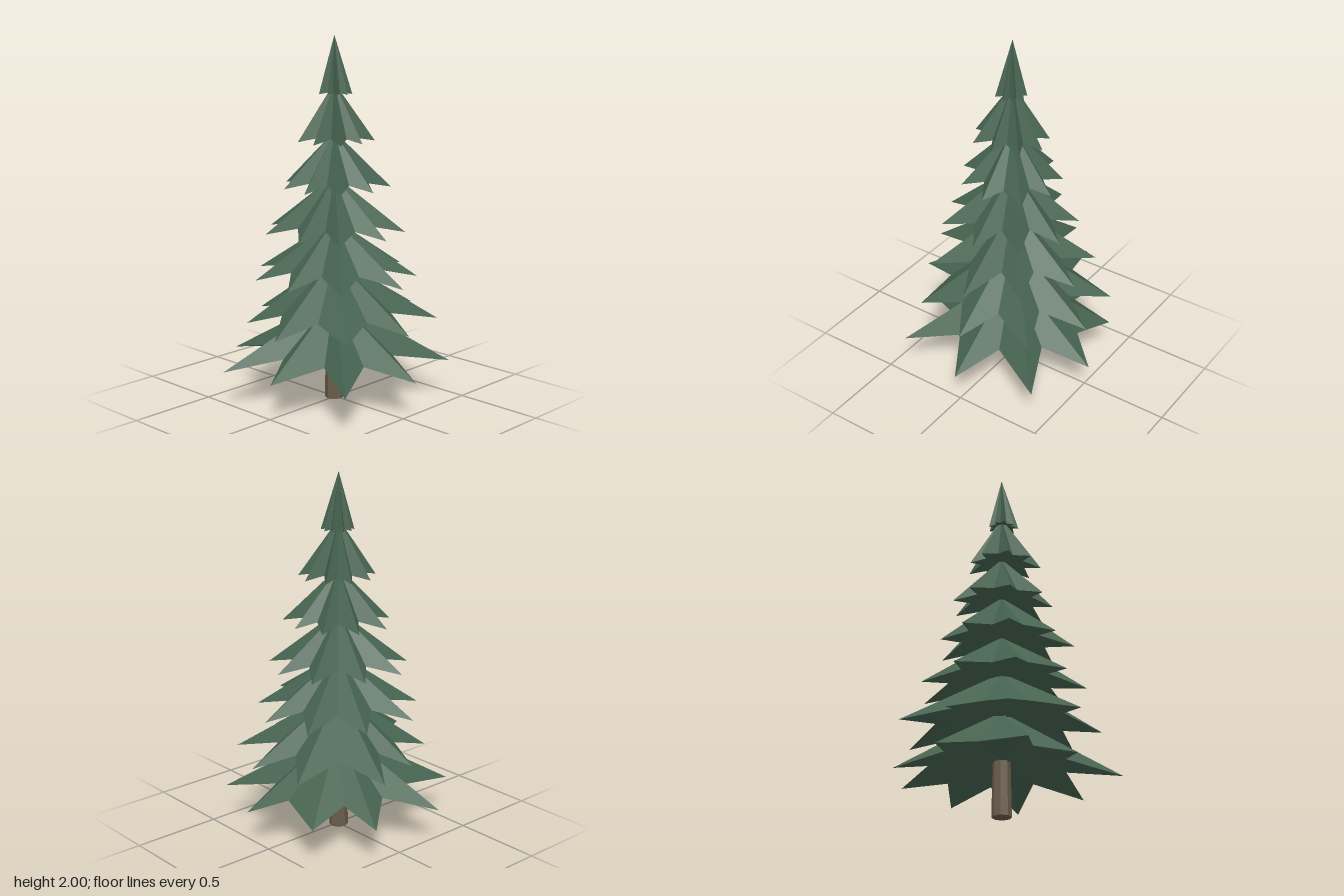
import * as THREE from 'three';

const AXIS_X = -0.008;

// Small seeded generator for the uneven branch tips, from -1 to 1
function makeJitter(seed) {
  let s = seed;
  return () => {
    s = (s * 16807) % 2147483647;
    return (s / 2147483647) * 2 - 1;
  };
}

// Branch tips and the notches after them: [angle in degrees, radius]
const BOTTOM_TIPS = [[-2, 0.57], [41.4, 0.62], [85, 0.54], [117, 0.64], [159.7, 0.62],
  [201.3, 0.58], [235.2, 0.56], [278.4, 0.58], [315.6, 0.63]];
const BOTTOM_NOTCHES = [[20.7, 0.35], [56, 0.34], [101.8, 0.34], [146, 0.385], [181, 0.37],
  [216.6, 0.386], [261.6, 0.41], [297, 0.35], [337, 0.336]];
const SECOND_TIPS = [[-2, 0.52], [39.9, 0.52], [81.5, 0.54], [124.6, 0.49], [165, 0.48],
  [196.2, 0.57], [243.4, 0.56], [278, 0.55], [316, 0.56]];
const BASE_ANGLES = [-1, 40, 79, 121, 162, 200, 241, 279, 318];

// Tiers from the ground up: tip height, apex height, mean radius
const TIERS = [
  { y: 0.21, top: 0.575, r: 0.59, tips: BOTTOM_TIPS, notches: BOTTOM_NOTCHES },
  { y: 0.455, top: 0.8, r: 0.55, tips: SECOND_TIPS },
  { y: 0.7, top: 1.01, r: 0.455 },
  { y: 0.945, top: 1.25, r: 0.37 },
  { y: 1.19, top: 1.49, r: 0.29 },
  { y: 1.44, top: 1.75, r: 0.2 },
  { y: 1.69, top: 2.0, r: 0.085 },
];

// A star-shaped cone: ridges run to the tips, valleys to the raised notches
function tierGeometry({ y, top, r, tips, notches }, jitter) {
  const outer = tips || BASE_ANGLES.map((a) => [a + jitter() * 3, r * (1 + jitter() * 0.06)]);
  const rim = [];
  const put = ([angle, radius], height) => {
    const a = THREE.MathUtils.degToRad(angle);
    rim.push([Math.cos(a) * radius, height, Math.sin(a) * radius]);
  };
  outer.forEach((tip, i) => {
    const next = i + 1 < outer.length ? outer[i + 1][0] : outer[0][0] + 360;
    const notch = notches
      ? notches[i]
      : [(tip[0] + next) / 2 + jitter() * 2, r * (0.61 + jitter() * 0.04)];
    put(tip, y);
    put(notch, y + r * 0.115);
  });
  const apex = [AXIS_X, top, 0];
  const under = [AXIS_X, y + r * 0.15, 0];
  const positions = [];
  rim.forEach((p, i) => {
    const q = rim[(i + 1) % rim.length];
    positions.push(...apex, ...q, ...p, ...under, ...p, ...q);
  });
  const geometry = new THREE.BufferGeometry();
  geometry.setAttribute('position', new THREE.Float32BufferAttribute(positions, 3));
  geometry.computeVertexNormals();
  return geometry;
}

export function createModel() {
  const tree = new THREE.Group();
  tree.name = 'firTree';

  const needles = new THREE.MeshStandardMaterial({ color: 0x466350, flatShading: true });
  needles.name = 'needle green';
  const bark = new THREE.MeshStandardMaterial({ color: 0x6a5c4b, flatShading: true });
  bark.name = 'bark brown';

  // Trunk
  const trunk = new THREE.Mesh(new THREE.CylinderGeometry(0.045, 0.053, 0.4, 8), bark);
  trunk.name = 'trunk';
  trunk.position.set(AXIS_X, 0.2, 0);
  tree.add(trunk);

  // Branch tiers
  const jitter = makeJitter(4711);
  TIERS.forEach((tier, i) => {
    const mesh = new THREE.Mesh(tierGeometry(tier, jitter), needles);
    mesh.name = `branchTier${i + 1}`;
    tree.add(mesh);
  });
  return tree;
}
